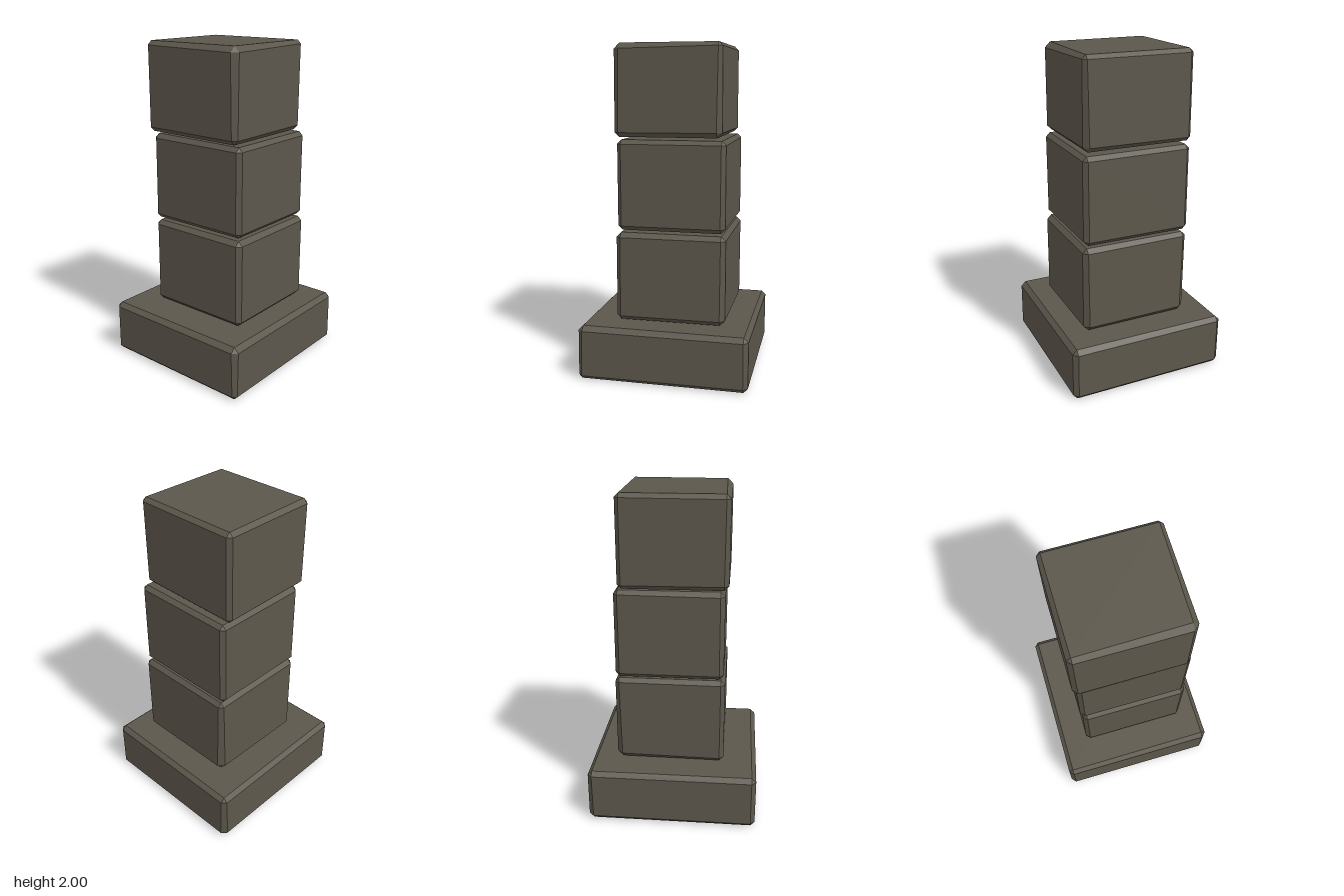
import * as THREE from 'three';
import { ConvexGeometry } from 'three/addons/geometries/ConvexGeometry.js';

const stone = new THREE.MeshStandardMaterial({ color: 0x5c574c });
stone.name = 'dark stone';

// Box between two corners with hand-cut chamfers; each corner has its own inset
function chamferedBlock(name, min, max, insets) {
  const points = [];
  for (let corner = 0; corner < 8; corner++) {
    const side = [corner & 1, (corner >> 1) & 1, (corner >> 2) & 1];
    const c = insets[corner];
    for (let face = 0; face < 3; face++) {
      const p = side.map((s, axis) => {
        const inset = axis === face ? 0 : c;
        return s ? max[axis] - inset : min[axis] + inset;
      });
      points.push(new THREE.Vector3(...p));
    }
  }
  const mesh = new THREE.Mesh(new ConvexGeometry(points), stone);
  mesh.name = name;
  return mesh;
}

export function createModel() {
  const group = new THREE.Group();
  group.name = 'stonePillar';

  // Inset order: x alternates fastest, then y, then z (low to high)
  group.add(
    chamferedBlock('base', [-0.515, 0, -0.5], [0.515, 0.333, 0.5],
      [0.026, 0.03, 0.027, 0.026, 0.022, 0.026, 0.03, 0.028]),
    chamferedBlock('lowerBlock', [-0.31, 0.345, -0.32], [0.355, 0.888, 0.362],
      [0.026, 0.034, 0.026, 0.024, 0.026, 0.03, 0.029, 0.027]),
    chamferedBlock('middleBlock', [-0.3, 0.902, -0.33], [0.35, 1.443, 0.352],
      [0.026, 0.026, 0.028, 0.024, 0.026, 0.027, 0.026, 0.025]),
    chamferedBlock('topBlock', [-0.32, 1.457, -0.352], [0.323, 2, 0.335],
      [0.028, 0.024, 0.026, 0.024, 0.026, 0.03, 0.034, 0.023]),
  );
  return group;
}
